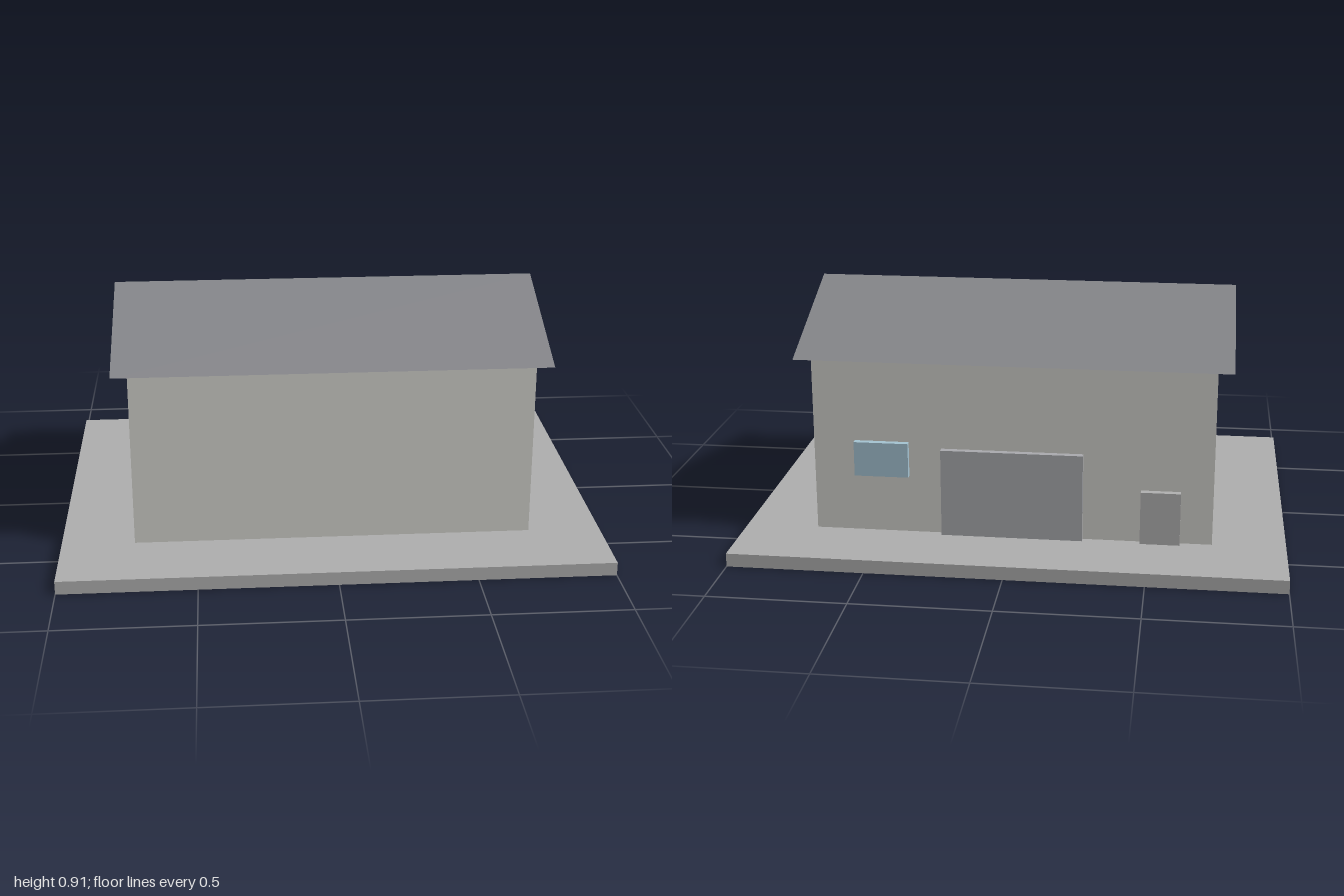
import * as THREE from 'three';

const HALL = { x: 0.732, z: 0.467, floor: 0.05, eaves: 0.71 };
const ROOF = { x: 0.79, z: 0.503, ridge: 0.91 };

function material(color) {
  return new THREE.MeshStandardMaterial({ color });
}

// Box given by its lower and upper corners
function block(name, color, [x0, y0, z0], [x1, y1, z1]) {
  const mesh = new THREE.Mesh(new THREE.BoxGeometry(x1 - x0, y1 - y0, z1 - z0), material(color));
  mesh.name = name;
  mesh.position.set((x0 + x1) / 2, (y0 + y1) / 2, (z0 + z1) / 2);
  return mesh;
}

// Solid gable roof: a triangle in (z, y) extruded along x
function gableRoof() {
  const triangle = new THREE.Shape([
    new THREE.Vector2(-ROOF.z, HALL.eaves),
    new THREE.Vector2(ROOF.z, HALL.eaves),
    new THREE.Vector2(0, ROOF.ridge),
  ]);
  const geometry = new THREE.ExtrudeGeometry(triangle, { depth: 2 * ROOF.x, bevelEnabled: false });
  geometry.translate(0, 0, -ROOF.x).rotateY(Math.PI / 2);
  const mesh = new THREE.Mesh(geometry, material(0x85868a));
  mesh.name = 'roof';
  return mesh;
}

export function createModel() {
  const group = new THREE.Group();
  group.name = 'hall';

  // Ground slab, walls and roof
  group.add(block('groundSlab', 0xb0b0b0, [-1, 0, -0.75], [1, HALL.floor, 0.75]));
  group.add(block('walls', 0xd2d1cc, [-HALL.x, HALL.floor, -HALL.z], [HALL.x, HALL.eaves, HALL.z]));
  group.add(gableRoof());

  // Openings standing slightly proud of the back wall
  const openings = [
    ['window', 0xa6c5d4, 0.38, 0.58, 0.27, 0.4],
    ['loadingDoor', 0xabacb0, -0.26, 0.26, HALL.floor, 0.38],
    ['sideDoor', 0xb2b2b2, -0.615, -0.47, HALL.floor, 0.25],
  ];
  for (const [name, color, x0, x1, y0, y1] of openings) {
    group.add(block(name, color, [x0, y0, -0.49], [x1, y1, -HALL.z + 0.01]));
  }
  return group;
}
